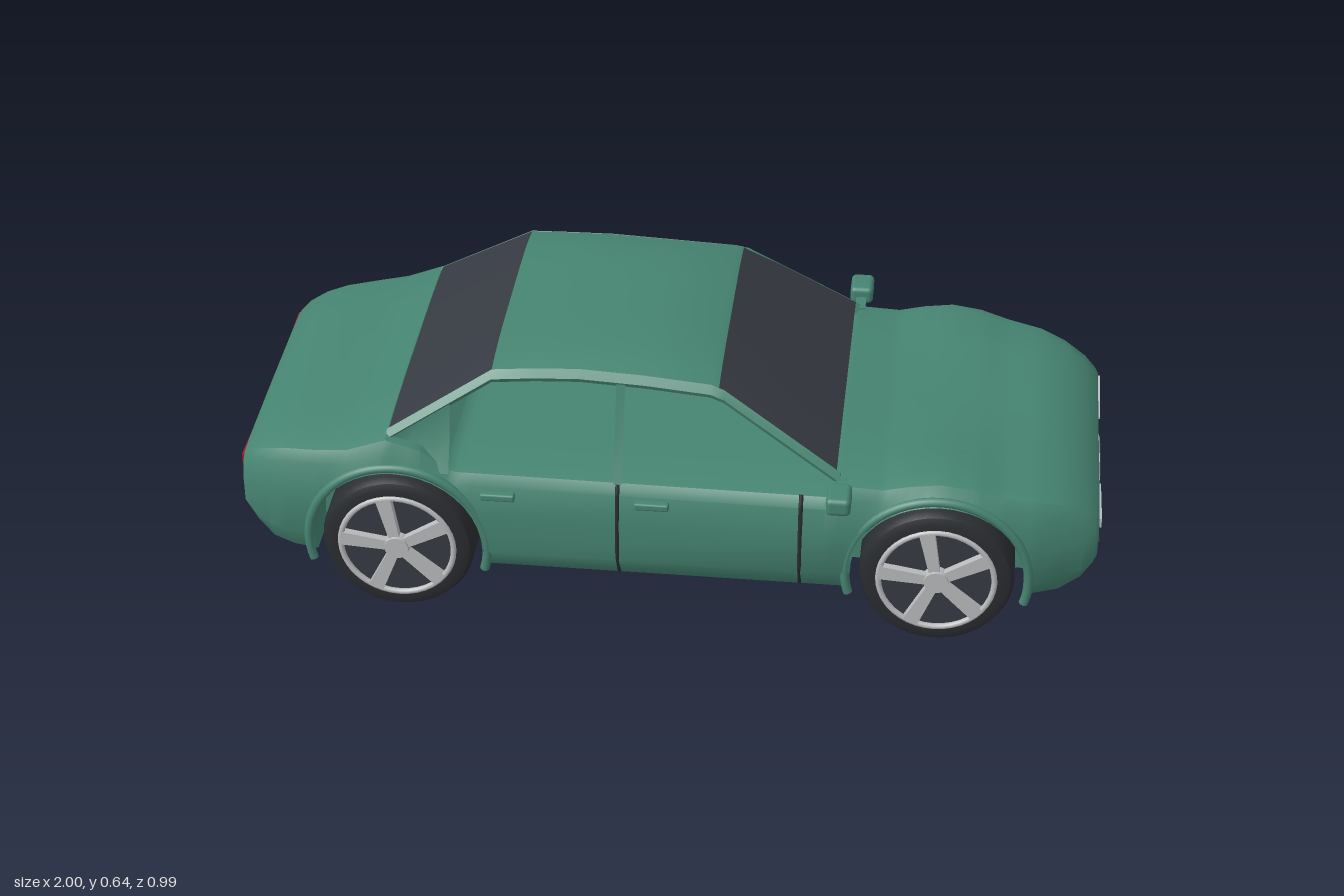
import * as THREE from 'three';
import { toCreasedNormals } from 'three/addons/utils/BufferGeometryUtils.js';
import { RoundedBoxGeometry } from 'three/addons/geometries/RoundedBoxGeometry.js';

const mat = (name, color, side = THREE.FrontSide) => {
  const m = new THREE.MeshStandardMaterial({ color, side });
  m.name = name;
  return m;
};

// linear lookup in a table of rows whose first column is x
function lookup(rows, x) {
  let i = 0;
  while (i < rows.length - 2 && x > rows[i + 1][0]) i++;
  const a = rows[i], b = rows[i + 1];
  const t = THREE.MathUtils.clamp((x - a[0]) / (b[0] - a[0]), 0, 1);
  return a.map((v, k) => v + (b[k] - v) * t);
}

// surface through rows of points; closed rings can be capped
function loft(rings, closed, crease = 0.6) {
  const n = rings[0].length, idx = [];
  for (let i = 0; i < rings.length - 1; i++) {
    for (let j = 0; j < (closed ? n : n - 1); j++) {
      const k = (j + 1) % n, a = i * n + j, b = a + n, c = (i + 1) * n + k, d = i * n + k;
      idx.push(a, b, c, a, c, d);
    }
  }
  if (closed) {
    const e = (rings.length - 1) * n;
    for (let j = 1; j < n - 1; j++) idx.push(0, j, j + 1, e, e + j + 1, e + j);
  }
  const g = new THREE.BufferGeometry();
  g.setAttribute('position', new THREE.Float32BufferAttribute(rings.flat(2), 3));
  g.setIndex(idx);
  return toCreasedNormals(g, crease);
}

// body: x, bottom, centre top, fender top, half width
const BODY = [
  [-0.992, 0.195, 0.35, 0.347, 0.345], [-0.97, 0.16, 0.374, 0.368, 0.36],
  [-0.93, 0.128, 0.395, 0.388, 0.378], [-0.88, 0.118, 0.408, 0.402, 0.392],
  [-0.8, 0.117, 0.42, 0.413, 0.408], [-0.73, 0.117, 0.432, 0.425, 0.416],
  [-0.64, 0.117, 0.468, 0.46, 0.418], [-0.56, 0.117, 0.44, 0.435, 0.418],
  [-0.5, 0.117, 0.39, 0.39, 0.418], [-0.48, 0.117, 0.382, 0.382, 0.418],
  [0.37, 0.117, 0.376, 0.376, 0.418], [0.4, 0.117, 0.424, 0.41, 0.418],
  [0.5, 0.117, 0.41, 0.405, 0.418], [0.56, 0.117, 0.405, 0.42, 0.418],
  [0.63, 0.117, 0.4, 0.43, 0.418], [0.7, 0.117, 0.395, 0.42, 0.417],
  [0.77, 0.117, 0.388, 0.398, 0.413], [0.85, 0.117, 0.382, 0.385, 0.4],
  [0.91, 0.12, 0.366, 0.366, 0.38], [0.96, 0.145, 0.337, 0.337, 0.36],
  [0.985, 0.175, 0.313, 0.313, 0.346], [0.993, 0.195, 0.302, 0.302, 0.336],
];
// cabin: x, height, half width of the roof edge, crown
const CABIN = [
  [-0.64, 0.472, 0.36, 0.01], [-0.4, 0.628, 0.312, 0.018], [-0.3, 0.638, 0.306, 0.022],
  [-0.2, 0.643, 0.303, 0.024], [-0.05, 0.636, 0.304, 0.024], [0.1, 0.62, 0.31, 0.018],
  [0.13, 0.607, 0.315, 0.014], [0.4, 0.43, 0.365, 0.008],
];
const WHEEL_X = [-0.62, 0.63], WHEEL_Y = 0.178, ARCH = 0.2;

function bodySection(x) {
  const [, B, T, F, W] = lookup(BODY, x), h = F - B;
  const dx = Math.min(...WHEEL_X.map((w) => Math.abs(x - w)));
  const inArch = dx <= ARCH + 1e-6;
  const A = inArch ? WHEEL_Y + Math.sqrt(Math.max(0, ARCH * ARCH - dx * dx)) : B;
  const half = [
    [0, B], [0.27, B], [0.27, A], [inArch ? W : W - 0.035, A],
    [W, Math.max(A, B + 0.22 * h)], [W, Math.max(A, B + 0.6 * h)],
    [W - 0.012, Math.max(A, B + 0.88 * h)], [W - 0.03, B + 0.97 * h], [W - 0.07, F],
    [W * 0.55, F * 0.35 + T * 0.65], [0, T],
  ];
  const other = half.slice(1, -1).reverse().map(([z, y]) => [-z, y]);
  return half.concat(other).map(([z, y]) => [x, y, z]);
}

const range = (a, b, n) => Array.from({ length: n + 1 }, (_, i) => a + ((b - a) * i) / n);

function wheel(m) {
  const g = new THREE.Group();
  const add = (name, geo, material) => {
    const o = new THREE.Mesh(geo, material);
    o.name = name;
    g.add(o);
    return o;
  };
  const profile = [[0.001, -0.066], [0.155, -0.068], [0.17, -0.062], [0.178, -0.045], [0.178, 0.045],
    [0.17, 0.062], [0.155, 0.068], [0.137, 0.068], [0.13, 0.05]].map((p) => new THREE.Vector2(...p));
  add('tyre', toCreasedNormals(new THREE.LatheGeometry(profile, 40).rotateX(Math.PI / 2), 0.6), m.rubber);
  add('rimBack', new THREE.CylinderGeometry(0.133, 0.133, 0.1, 40).rotateX(Math.PI / 2).translate(0, 0, 0.006), m.glass);
  add('rimRing', new THREE.TorusGeometry(0.133, 0.007, 8, 40).translate(0, 0, 0.067), m.silver);
  add('hub', new THREE.CylinderGeometry(0.028, 0.032, 0.03, 20).rotateX(Math.PI / 2).translate(0, 0, 0.065), m.silver);
  const s = new THREE.Shape([[-0.012, 0.01], [0.012, 0.01], [0.018, 0.132], [-0.018, 0.132]].map((p) => new THREE.Vector2(...p)));
  for (let i = 0; i < 5; i++) {
    add('spoke', new THREE.ExtrudeGeometry(s, { depth: 0.02, bevelEnabled: false }).translate(0, 0, 0.054), m.silver)
      .rotation.z = 0.2 + (i * Math.PI * 2) / 5;
  }
  return g;
}

export function createModel() {
  const car = new THREE.Group();
  car.name = 'car';
  const m = {
    paint: mat('green paint', 0x468471, THREE.DoubleSide),
    glass: mat('dark glass', 0x363a42, THREE.DoubleSide),
    rubber: mat('rubber', 0x2a2d31),
    silver: mat('silver', 0xb9bbbe),
    red: mat('red lamp', 0xa3192f),
  };
  const add = (name, geo, material) => {
    const o = new THREE.Mesh(geo, material);
    o.name = name;
    car.add(o);
    return o;
  };

  // body with wheel wells
  const xs = BODY.map((r) => r[0]);
  for (const w of WHEEL_X) {
    xs.push(w - ARCH - 0.001, w + ARCH + 0.001);
    for (const a of range(0, Math.PI, 20)) xs.push(w + ARCH * Math.cos(a));
  }
  xs.sort((a, b) => a - b);
  add('body', loft(xs.map(bodySection), true), m.paint);

  // roof and the two sloped windows
  const skinRow = (x) => {
    const [, H, E, c] = lookup(CABIN, x);
    return range(1, -1, 16).map((t) => [x, H - c * t ** 4, E * t]);
  };
  add('roof', loft([-0.4, -0.3, -0.2, -0.05, 0.1, 0.118].map(skinRow), false), m.paint);
  add('rearWindow', loft(range(-0.635, -0.4, 2).map(skinRow), false), m.glass);
  add('windshield', loft(range(0.118, 0.392, 3).map(skinRow), false), m.glass);

  for (const s of [1, -1]) {
    // rail along the roof edge and down the pillars
    const rail = CABIN.map(([x, H, E, c]) => {
      const y = H - c;
      return [[E - 0.02, y - 0.02], [E + 0.012, y - 0.026], [E + 0.016, y - 0.016], [E, y + 0.001]]
        .map(([z, yy]) => [x, yy, z * s]);
    });
    add('roofRail', loft(rail, true), m.paint);

    // rear quarter panel and centre pillar
    const sideRow = (x) => {
      const [, H, E, c] = lookup(CABIN, x), top = H - c - 0.02;
      return [[0.4, 0.375], [0.375 * 0.6 + (E + 0.015) * 0.4, 0.375 + (top - 0.375) * 0.45], [E + 0.014, top]]
        .map(([z, y]) => [x, y, z * s]);
    };
    add('quarterPanel', loft(range(-0.64, -0.495, 4).map(sideRow), false), m.paint);
    add('centrePillar', loft([-0.115, -0.095].map(sideRow), false), m.paint);

    // door seams and handles
    for (const x of [-0.105, 0.315]) {
      const pts = [[0.384, 0.12], [0.417, 0.18], [0.417, 0.275], [0.406, 0.35], [0.392, 0.374]]
        .map(([z, y]) => new THREE.Vector3(x, y, z * s));
      const path = new THREE.CurvePath();
      for (let i = 0; i < pts.length - 1; i++) path.add(new THREE.LineCurve3(pts[i], pts[i + 1]));
      add('doorSeam', new THREE.TubeGeometry(path, 24, 0.005, 6), m.rubber);
    }
    for (const x of [-0.38, -0.025]) {
      add('doorHandle', new RoundedBoxGeometry(0.08, 0.018, 0.022, 2, 0.005), m.paint).position.set(x, 0.333, 0.416 * s);
    }

    // side mirror
    add('mirror', new RoundedBoxGeometry(0.056, 0.044, 0.078, 3, 0.012), m.paint).position.set(0.403, 0.411, 0.455 * s);
    add('mirrorStalk', new THREE.BoxGeometry(0.025, 0.016, 0.07), m.paint).position.set(0.403, 0.402, 0.4 * s);

    // wheels and arch lips
    for (const x of WHEEL_X) {
      const w = wheel(m);
      w.name = 'wheel';
      w.position.set(x, WHEEL_Y, 0.353 * s);
      if (s < 0) w.rotation.y = Math.PI;
      car.add(w);
      add('archLip', new THREE.TorusGeometry(0.21, 0.011, 8, 40, Math.PI + 0.56).rotateZ(-0.28), m.paint)
        .position.set(x, WHEEL_Y, 0.409 * s);
    }
  }

  // thin details on the nose (dir 1) and tail (dir -1)
  const plate = (name, shape, dir, material, lift = 0) => {
    const geo = new THREE.ExtrudeGeometry(shape, { depth: 0.006, bevelEnabled: false, curveSegments: 24 });
    add(name, geo.rotateY((dir * Math.PI) / 2), material).position.x = dir * (0.991 + lift);
  };
  const poly = (pts, s = 1) => new THREE.Shape(pts.map(([u, v]) => new THREE.Vector2(u * s, v)));
  const oval = (rx, ry) => new THREE.Shape().absellipse(0, 0.248, rx, ry, 0, Math.PI * 2);
  plate('grilleRing', oval(0.102, 0.031), 1, m.silver);
  plate('grille', oval(0.096, 0.027), 1, m.glass, 0.002);
  plate('numberPlate', poly([[-0.05, 0.235], [0.05, 0.235], [0.05, 0.262], [-0.05, 0.262]]), -1, m.silver);
  for (const s of [1, -1]) {
    plate('headlight', poly([[0.14, 0.273], [0.302, 0.27], [0.302, 0.294], [0.14, 0.279]], s), 1, m.silver, 0.002);
    plate('lowerVent', poly([[0.212, 0.2], [0.275, 0.2], [0.298, 0.226], [0.188, 0.226]], s), 1, m.glass, 0.001);
    plate('tailLight', poly([[0.13, 0.31], [0.315, 0.306], [0.315, 0.336], [0.13, 0.328]], s), -1, m.red, 0.002);
    plate('reflector', poly([[0.18, 0.2], [0.225, 0.2], [0.225, 0.214], [0.18, 0.214]], s), -1, m.silver);
  }
  return car;
}
